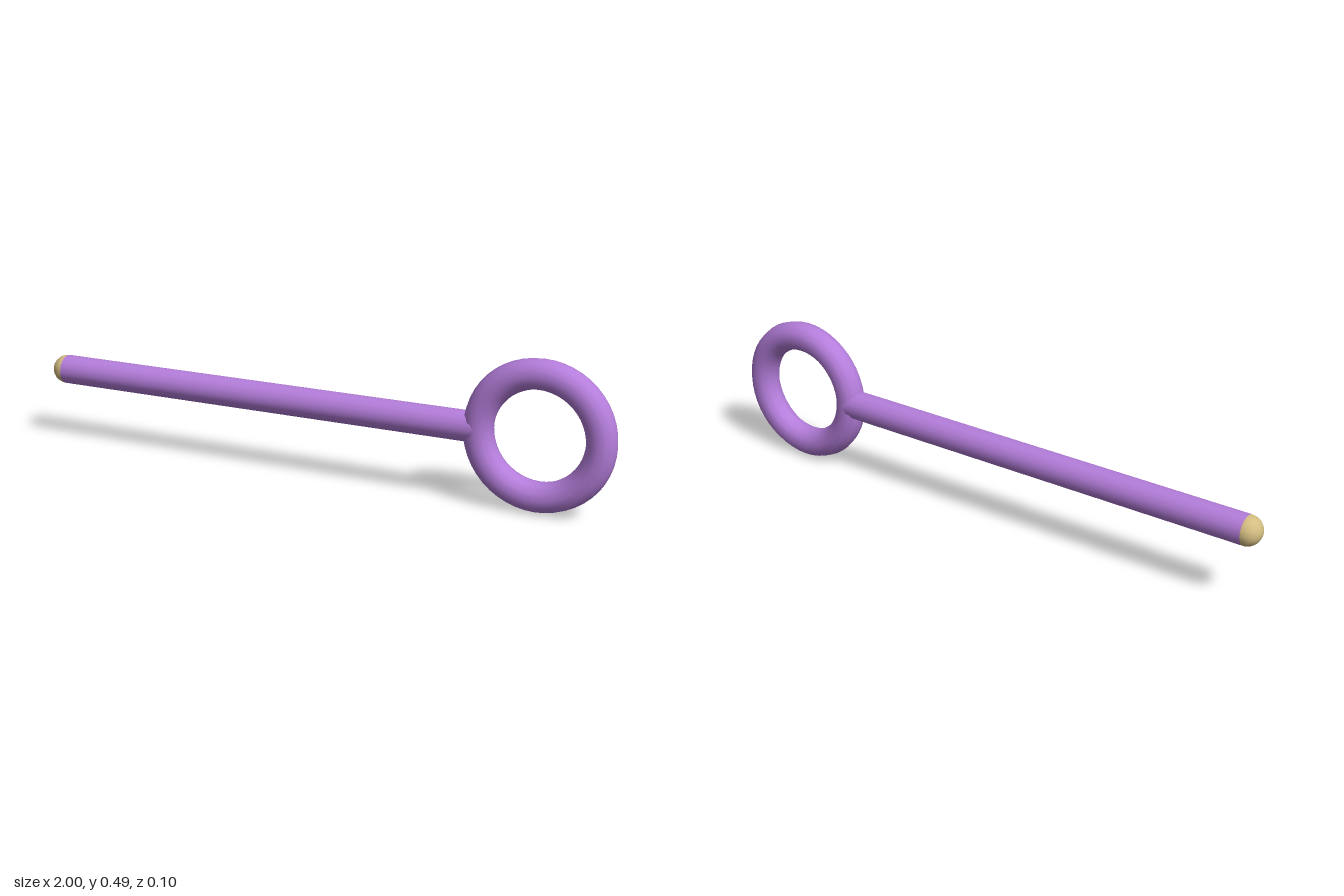
import * as THREE from 'three';

const TUBE = 0.049;        // thickness radius shared by shaft, ring and tip
const RING = 0.196;        // ring centreline radius
const Y = RING + TUBE;     // height of the centre axis
const RING_X = 1 - RING - TUBE;
const TIP_X = -1 + TUBE;

export function createModel() {
  const purple = new THREE.MeshStandardMaterial({ name: 'purple', color: 0xb57edc });
  const tan = new THREE.MeshStandardMaterial({ name: 'tan', color: 0xd4bd82 });

  const group = new THREE.Group();
  group.name = 'ringHandledRod';
  const add = (name, geometry, material, x) => {
    const mesh = new THREE.Mesh(geometry, material);
    mesh.name = name;
    mesh.position.set(x, Y, 0);
    group.add(mesh);
  };

  // Ring handle, upright in the xy plane
  add('ringHandle', new THREE.TorusGeometry(RING, TUBE, 12, 48), purple, RING_X);

  // Shaft, running from the rounded tip to the ring's centreline
  const shaftEnd = RING_X - RING;
  const shaft = new THREE.CylinderGeometry(TUBE, TUBE, shaftEnd - TIP_X, 16);
  shaft.rotateZ(Math.PI / 2);
  add('shaft', shaft, purple, (TIP_X + shaftEnd) / 2);

  // Rounded tip, a half ball closing the far end
  const tip = new THREE.SphereGeometry(TUBE, 16, 8, 0, Math.PI * 2, 0, Math.PI / 2);
  tip.rotateZ(Math.PI / 2);
  add('roundedTip', tip, tan, TIP_X);

  return group;
}
